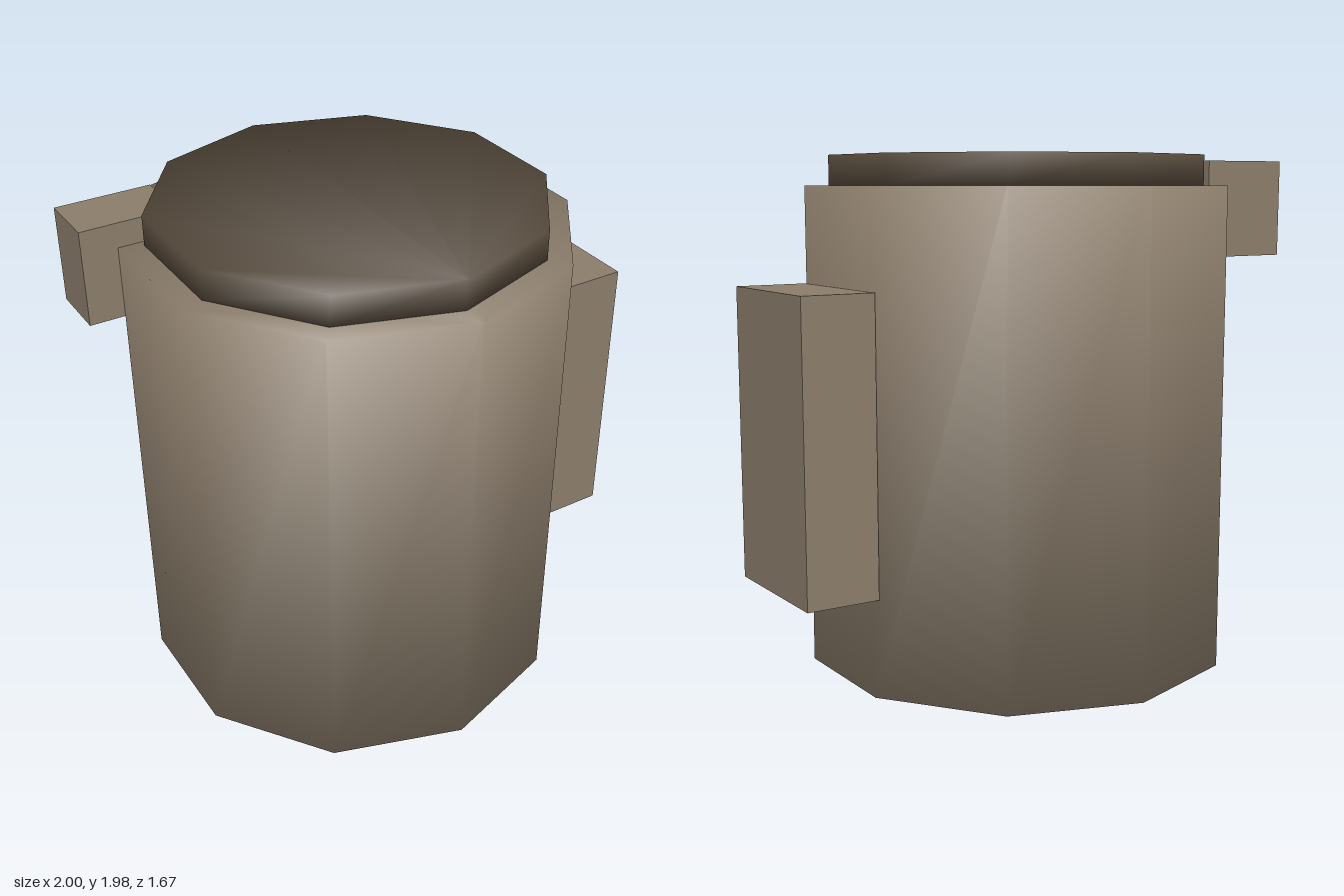
import * as THREE from 'three';

const SIDES = 10;

// Closed ten-sided drum whose normals blend softly over the rims.
function drum(radius, bottom, top) {
  const positions = [], normals = [], index = [];
  for (const [y, up] of [[bottom, -0.643], [top, 0.643]]) {
    for (let i = 0; i < SIDES; i++) {
      const a = (i / SIDES) * Math.PI * 2;
      const s = Math.sin(a), c = Math.cos(a);
      positions.push(s * radius, y, c * radius);
      normals.push(s * 0.766, up, c * 0.766);
    }
  }
  for (let i = 0; i < SIDES; i++) {
    const j = (i + 1) % SIDES;
    index.push(i, j, SIDES + j, i, SIDES + j, SIDES + i);
  }
  // end caps
  for (let i = 1; i < SIDES - 1; i++) {
    index.push(0, i + 1, i, SIDES, SIDES + i, SIDES + i + 1);
  }
  const geometry = new THREE.BufferGeometry();
  geometry.setAttribute('position', new THREE.Float32BufferAttribute(positions, 3));
  geometry.setAttribute('normal', new THREE.Float32BufferAttribute(normals, 3));
  geometry.setIndex(index);
  return geometry;
}

// Box given by its lower and upper corners.
function block(min, max) {
  const size = max.map((v, i) => v - min[i]);
  const mid = max.map((v, i) => (v + min[i]) / 2);
  return new THREE.BoxGeometry(...size).translate(...mid);
}

export function createModel() {
  const model = new THREE.Group();
  const clay = new THREE.MeshStandardMaterial({ color: 0x8a7c6a });
  clay.name = 'clay brown';
  const dark = new THREE.MeshStandardMaterial({ color: 0x54483a });
  dark.name = 'dark brown';

  const add = (name, geometry, material, x = 0) => {
    const mesh = new THREE.Mesh(geometry, material);
    mesh.name = name;
    mesh.position.x = x;
    model.add(mesh);
  };

  // vessel and its raised lid
  add('body', drum(0.835, 0, 1.86), clay, -0.07);
  add('lid', drum(0.743, 1.86, 1.975), dark, -0.07);

  // grip on the left, small spout on the right near the rim
  add('handle', block([0.715, 0.375, -0.28], [1, 1.49, 0.28]), clay);
  add('spout', block([-1, 1.585, -0.49], [-0.63, 1.955, -0.26]), clay);

  return model;
}
